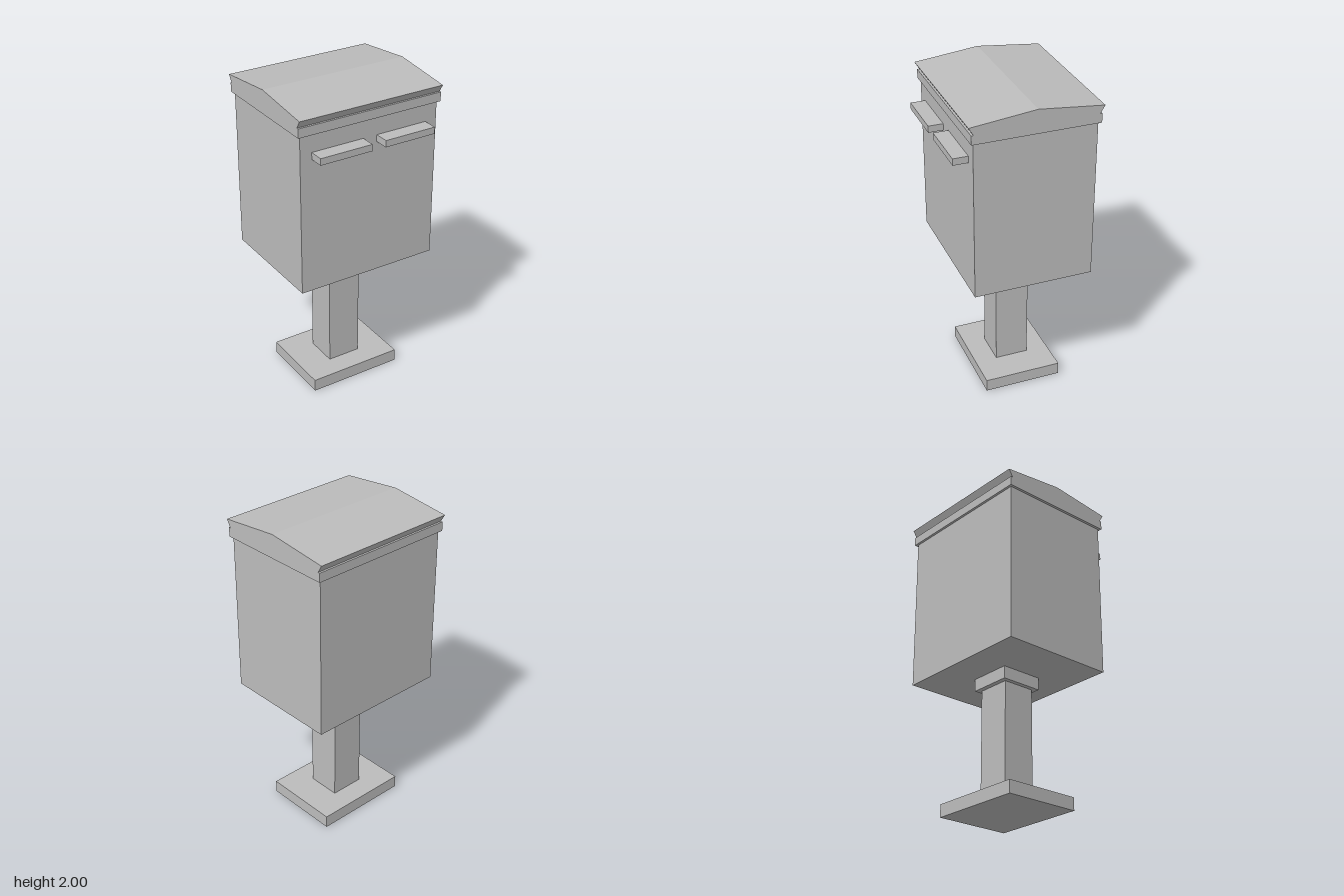
import * as THREE from 'three';

const CZ = -0.032; // depth centre of the cabinet, post and base

export function createModel() {
  const group = new THREE.Group();
  const grey = new THREE.MeshStandardMaterial({ color: 0xbcbcbc });
  grey.name = 'grey';

  // Box given by half width, bottom, top and half depth
  const box = (name, hx, y0, y1, hz, x = 0, z = CZ) => {
    const mesh = new THREE.Mesh(new THREE.BoxGeometry(hx * 2, y1 - y0, hz * 2), grey);
    mesh.name = name;
    mesh.position.set(x, (y0 + y1) / 2, z);
    group.add(mesh);
  };

  // Pedestal and cabinet
  box('base', 0.306, 0, 0.08, 0.246);
  box('post', 0.108, 0.08, 0.775, 0.106);
  box('collar', 0.136, 0.775, 0.853, 0.137);
  box('cabinet', 0.458, 0.853, 1.853, 0.37);
  box('rim', 0.475, 1.853, 1.91, 0.385);

  // Slot hoods on the front
  box('leftSlotHood', 0.169, 1.7, 1.742, 0.046, 0.214, 0.384);
  box('rightSlotHood', 0.169, 1.7, 1.742, 0.046, -0.214, 0.384);

  // Gabled lid: side profile with undercut eaves, extruded across the width
  const profile = new THREE.Shape([
    [-0.372, 1.91], [0.372, 1.91], [0.4, 1.957], [0, 2], [-0.4, 1.957],
  ].map(([z, y]) => new THREE.Vector2(z, y)));
  const lidGeometry = new THREE.ExtrudeGeometry(profile, { depth: 0.95, bevelEnabled: false });
  lidGeometry.translate(0, 0, -0.475).rotateY(Math.PI / 2);
  const lid = new THREE.Mesh(lidGeometry, grey);
  lid.name = 'lid';
  lid.position.z = CZ;
  group.add(lid);

  return group;
}
